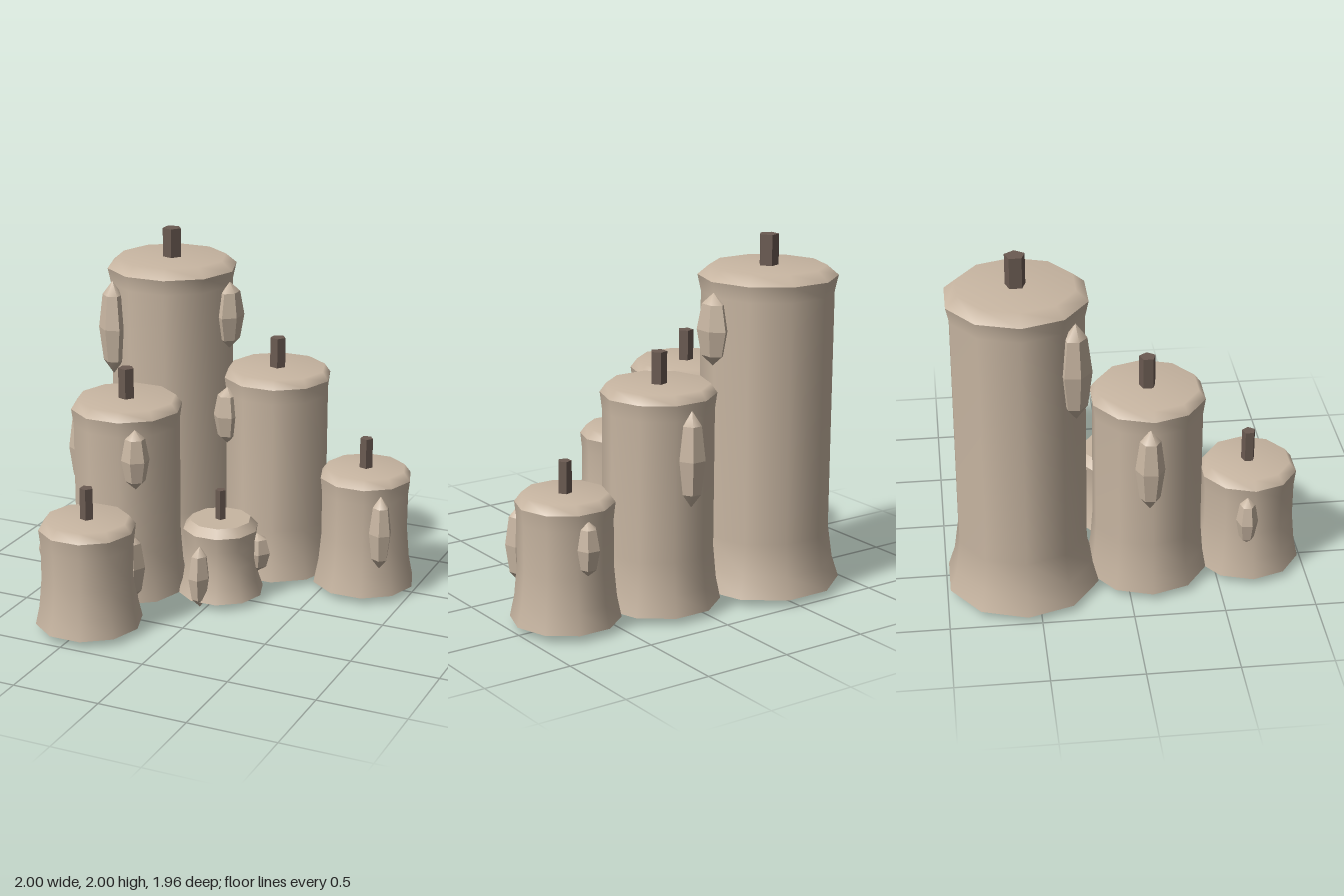
import * as THREE from 'three';
import { toCreasedNormals } from 'three/addons/utils/BufferGeometryUtils.js';

const BASE_Y = 0.04;
const SIDES = 10;

// x, z, radii (base, wall, rim, top), heights (rim, top, wick), wick radius
// drips: [x, y, z, half width, half height]
const CANDLES = [
  { name: 'tallestCandle', x: -0.57, z: -0.575, r: [0.43, 0.365, 0.385, 0.32], y: [1.775, 1.83, 2.0], wick: 0.056,
    drips: [[-0.82, 1.44, -0.29, 0.1, 0.28], [-0.2, 1.515, -0.575, 0.11, 0.2]] },
  { name: 'middleLeftCandle', x: -0.525, z: 0.12, r: [0.34, 0.305, 0.318, 0.28], y: [1.12, 1.17, 1.345], wick: 0.046,
    drips: [[-0.825, 0.825, 0.1, 0.08, 0.245], [-0.35, 0.9, 0.365, 0.08, 0.175]] },
  { name: 'middleBackCandle', x: 0.127, z: -0.53, r: [0.345, 0.303, 0.315, 0.28], y: [1.205, 1.255, 1.43], wick: 0.046,
    drips: [[-0.1, 0.99, -0.32, 0.08, 0.17], [0.12, 0.9, -0.825, 0.08, 0.265]] },
  { name: 'rightCandle', x: 0.7, z: -0.49, r: [0.3, 0.258, 0.268, 0.23], y: [0.685, 0.735, 0.91], wick: 0.038,
    drips: [[0.865, 0.425, -0.295, 0.067, 0.22], [0.715, 0.495, -0.73, 0.07, 0.155]] },
  { name: 'frontCandle', x: -0.485, z: 0.69, r: [0.3, 0.26, 0.27, 0.232], y: [0.597, 0.647, 0.825], wick: 0.038,
    drips: [[-0.735, 0.405, 0.65, 0.06, 0.145], [-0.295, 0.335, 0.535, 0.067, 0.2]] },
  { name: 'smallestCandle', x: 0, z: -0.01, r: [0.25, 0.205, 0.218, 0.175], y: [0.427, 0.475, 0.65], wick: 0.03, sharpTop: true,
    drips: [[-0.037, 0.185, 0.195, 0.06, 0.185], [0.185, 0.257, -0.115, 0.06, 0.117]] },
];

export function createModel() {
  const wax = new THREE.MeshStandardMaterial({ color: 0xc8b6a2 });
  wax.name = 'wax';
  const charred = new THREE.MeshStandardMaterial({ color: 0x6b5b52 });
  charred.name = 'wick';

  const addMesh = (parent, name, geometry, material) => {
    const mesh = new THREE.Mesh(geometry, material);
    mesh.name = name;
    parent.add(mesh);
    return mesh;
  };

  // Ten-sided turned surface with a corner on the x axis
  const turned = (profile) => new THREE.LatheGeometry(
    profile.map(([r, y]) => new THREE.Vector2(r, y)), SIDES).rotateY(Math.PI / 2);

  const dripShape = toCreasedNormals(new THREE.SphereGeometry(1, 6, 4), 0.6);

  const model = new THREE.Group();
  model.name = 'candleCluster';

  for (const c of CANDLES) {
    const candle = new THREE.Group();
    candle.name = c.name;
    candle.position.set(c.x, 0, c.z);
    model.add(candle);

    const [base, wall, rim, top] = c.r;
    const [rimY, topY, wickY] = c.y;
    const flare = Math.min(0.3, 0.45 * (topY - BASE_Y));

    // Flared foot, straight wall and a slightly swollen rim
    addMesh(candle, 'body', turned([
      [base, BASE_Y],
      [wall + (base - wall) * 0.4, BASE_Y + flare * 0.4],
      [wall, BASE_Y + flare],
      [wall, rimY - 0.09],
      [rim, rimY],
    ]), wax);

    // Bevelled shoulder flowing into the flat top
    const shoulder = [[rim, rimY], [top, topY]];
    const lid = [[top, topY], [0, topY]];
    if (c.sharpTop) {
      addMesh(candle, 'shoulder', turned(shoulder), wax);
      addMesh(candle, 'top', turned(lid), wax);
    } else {
      addMesh(candle, 'top', turned([...shoulder, lid[1]]), wax);
    }

    addMesh(candle, 'underside', turned([[0, BASE_Y], [base, BASE_Y]]), wax);

    // Five-sided wick
    const length = wickY - topY + 0.02;
    const wickShape = new THREE.CylinderGeometry(c.wick, c.wick, length, 5, 1, false, Math.PI / 2);
    const wick = addMesh(candle, 'wick', toCreasedNormals(wickShape, 0.5), charred);
    wick.position.y = wickY - length / 2;

    // Wax drips facing outward from the wall
    for (const [x, y, z, halfWidth, halfHeight] of c.drips) {
      const drip = addMesh(candle, 'drip', dripShape, wax);
      drip.position.set(x - c.x, y, z - c.z);
      drip.rotation.y = Math.atan2(x - c.x, z - c.z);
      drip.scale.set(halfWidth, halfHeight, 0.08);
    }
  }
  return model;
}
